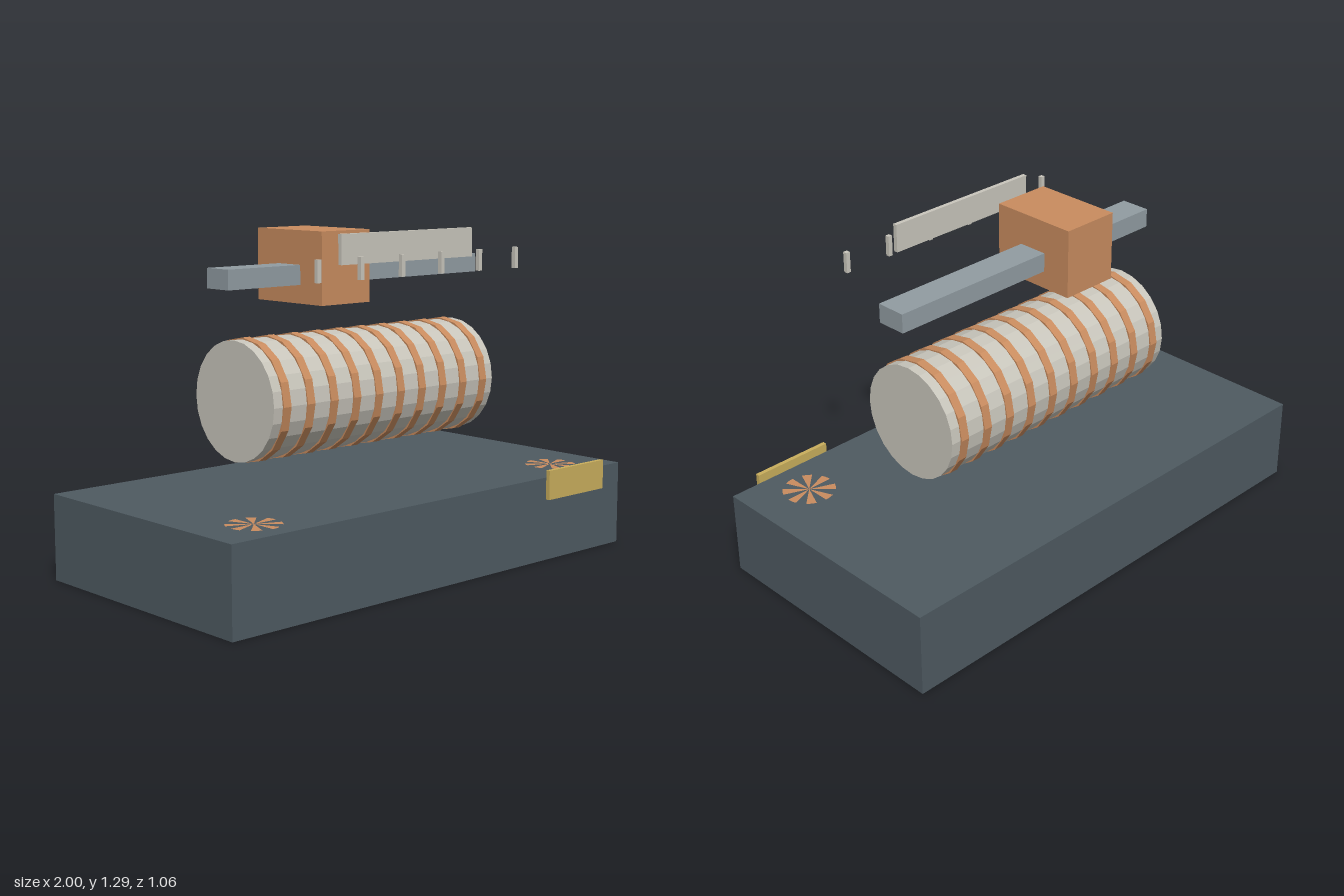
import * as THREE from 'three';

function material(name, color) {
  const m = new THREE.MeshStandardMaterial({ color });
  m.name = name;
  return m;
}

export function createModel() {
  const slate = material('slate', 0x4e5a61);
  const ivory = material('ivory', 0xc9c6bc);
  const copper = material('copper', 0xc98c5f);
  const steel = material('steel', 0x919ca2);
  const brass = material('brass', 0xc9ae5c);

  const model = new THREE.Group();
  model.name = 'drumMachine';

  function add(name, geometry, mat, x, y, z) {
    const mesh = new THREE.Mesh(geometry, mat);
    mesh.name = name;
    mesh.position.set(x, y, z);
    model.add(mesh);
    return mesh;
  }
  const box = (name, mat, size, pos) => add(name, new THREE.BoxGeometry(...size), mat, ...pos);

  // Faceted cylinder lying along x
  const roller = (radius, length, sides) => {
    const g = new THREE.CylinderGeometry(radius, radius, length, sides).rotateZ(Math.PI / 2).toNonIndexed();
    g.computeVertexNormals();
    return g;
  };

  // Base with a name plate floating just off its front
  box('base', slate, [2, 0.327, 1.04], [0, 0.1635, -0.01]);
  box('namePlate', brass, [0.326, 0.115, 0.017], [0.71, 0.3, 0.5245]);

  // Radial inlays set in the front corners of the base top
  const petal = new THREE.CircleGeometry(0.1, 1, 0, Math.PI / 8).rotateX(-Math.PI / 2);
  for (const side of [-1, 1]) {
    for (let i = 0; i < 8; i++) {
      add('baseInlay', petal, copper, side * 0.77, 0.3285, 0.345).rotation.y = (i * Math.PI) / 4;
    }
  }

  // Drum and its copper bands
  add('drum', roller(0.222, 1.128, 24), ivory, 0, 0.684, -0.01);
  const band = roller(0.229, 0.035, 16);
  for (let i = 0; i < 10; i++) add('drumBand', band, copper, (i - 4.5) * 0.1125, 0.684, -0.01);

  // Rail and the carriage riding on it
  box('rail', steel, [1.267, 0.073, 0.119], [0, 1.1285, -0.01]);
  box('carriage', copper, [0.236, 0.267, 0.356], [-0.18, 1.157, -0.011]);

  // Scale plate and the row of pins in front of it
  box('scalePlate', ivory, [0.668, 0.109, 0.017], [0, 1.234, 0.302]);
  for (let i = 0; i < 6; i++) {
    box('scalePin', ivory, [0.017, 0.08, 0.017], [(i - 2.5) * 0.2015, 1.171, 0.376]);
  }

  return model;
}
